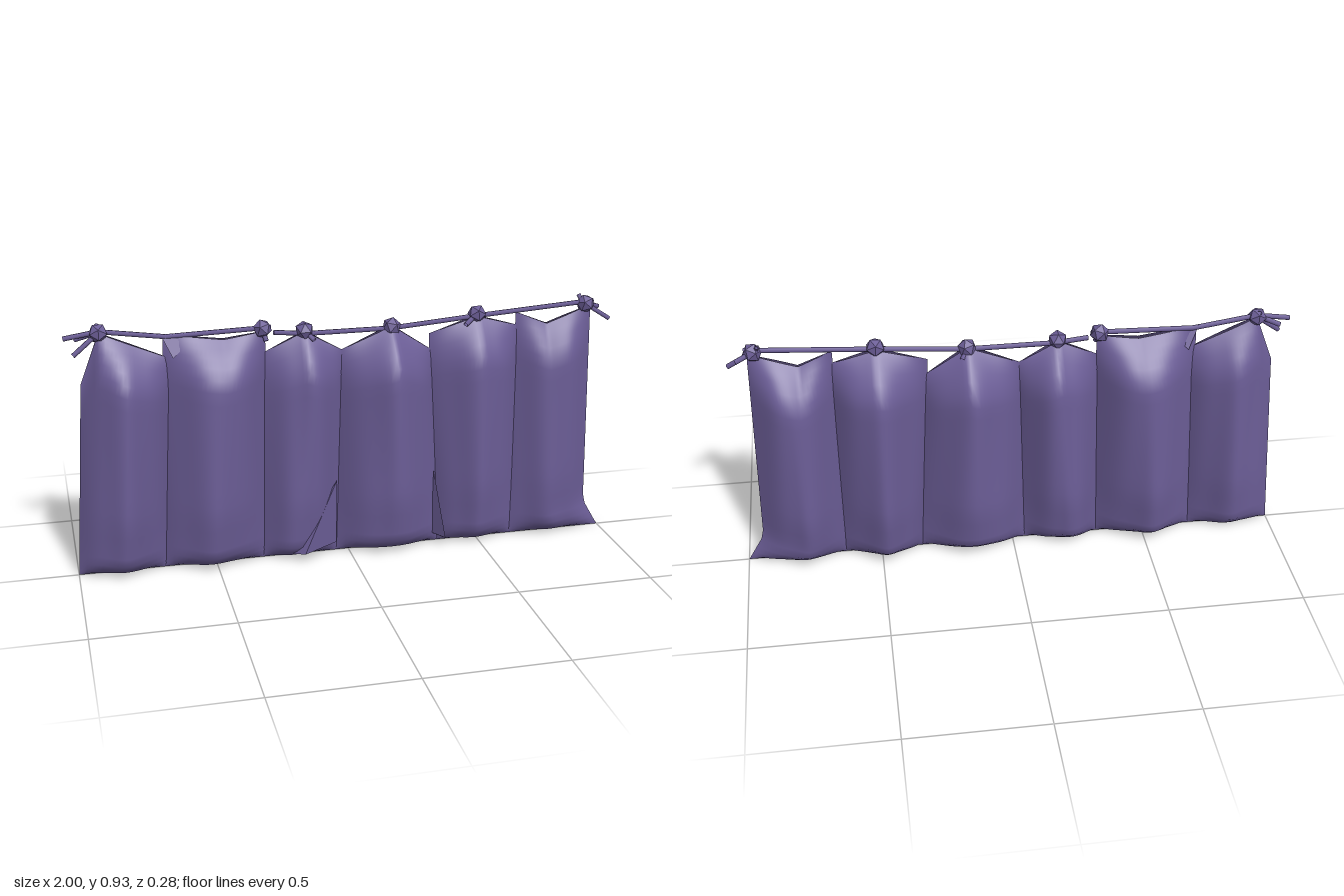
import * as THREE from 'three';
import { ConvexGeometry } from 'three/addons/geometries/ConvexGeometry.js';

// Piecewise-linear lookup in [position, value] pairs
function look(list, t) {
  for (let i = 1; i < list.length; i++) {
    const [a, p] = list[i - 1], [b, q] = list[i];
    if (t <= b) return p + (q - p) * Math.max(0, (t - a) / (b - a));
  }
  return list[list.length - 1][1];
}

// Fullness of the cloth from hem to tied top
const FULL = [[0, 0], [0.015, 0.4], [0.06, 0.8], [0.27, 1], [0.84, 0.94], [0.93, 0.5], [1, 0.07]];
const COLS = 24;
const ROWS = 24;

// Hem left and right, top edge points, front and back depth, lean of the folds
const PANELS = [
  [-1, -0.68, [[-0.95, 0.72], [-0.88, 0.9], [-0.63, 0.79]], 0.125, 0.1, 0.06],
  [-0.69, -0.31, [[-0.66, 0.88], [-0.45, 0.85], [-0.3, 0.87]], 0.13, 0.14, 0.1],
  [-0.33, -0.04, [[-0.31, 0.79], [-0.16, 0.86], [-0.02, 0.78]], 0.1, 0.12, 0.14],
  [-0.05, 0.36, [[-0.03, 0.78], [0.16, 0.86], [0.31, 0.76]], 0.135, 0.14, 0.05],
  [0.34, 0.65, [[0.3, 0.82], [0.48, 0.875], [0.64, 0.83]], 0.105, 0.14, 0.12],
  [0.62, 0.94, [[0.63, 0.88], [0.75, 0.83], [0.92, 0.89]], 0.085, 0.12, 0.05],
];

// One face of a billowing panel
function sheet([left, right, top, front, back, lean], index, side) {
  const pos = [], idx = [];
  const flare = index === PANELS.length - 1 ? 0.06 : 0;
  const depth = side > 0 ? front : back;
  for (let r = 0; r <= ROWS; r++) {
    const v = (1 - Math.cos(Math.PI * r / ROWS)) / 2;
    for (let c = 0; c <= COLS; c++) {
      const u = c / COLS;
      const tx = THREE.MathUtils.lerp(top[0][0], top[2][0], u);
      const bx = THREE.MathUtils.lerp(left, right, u);
      const x = THREE.MathUtils.lerp(bx, tx, v) + flare * u * Math.max(0, 1 - v / 0.12);
      const lu = u + lean * (0.5 - v) * 4 * u * (1 - u);
      const bulge = depth * (1 - Math.abs(2 * lu - 1) ** 1.6);
      const fold = 0.006 * Math.sin(lu * 13 + v * 3 + index * 1.7) * Math.sin(Math.PI * u);
      pos.push(x, look(top, tx) * v, side * (bulge + fold) * look(FULL, v));
    }
  }
  const n = COLS + 1;
  for (let r = 0; r < ROWS; r++) {
    for (let c = 0; c < COLS; c++) {
      const a = r * n + c, b = a + 1, d = a + n, e = d + 1;
      if (side > 0) idx.push(a, b, e, a, e, d);
      else idx.push(a, e, b, a, d, e);
    }
  }
  const g = new THREE.BufferGeometry();
  g.setAttribute('position', new THREE.Float32BufferAttribute(pos, 3));
  g.setIndex(idx);
  g.computeVertexNormals();
  return g;
}

export function createModel() {
  const model = new THREE.Group();
  const cloth = new THREE.MeshStandardMaterial({ color: 0x6b5d96, side: THREE.DoubleSide });
  cloth.name = 'purple cloth';

  const add = (geometry, name, parent = model) => {
    const mesh = new THREE.Mesh(geometry, cloth);
    mesh.name = name;
    parent.add(mesh);
    return mesh;
  };

  // Straight cord between two points
  const cord = (a, b, name) =>
    add(new THREE.TubeGeometry(new THREE.LineCurve3(a, b), 1, 0.009, 6), name);

  // Cloth panels
  PANELS.forEach((p, i) => {
    const panel = new THREE.Group();
    panel.name = 'curtainPanel' + (i + 1);
    add(sheet(p, i, 1), 'panelFront', panel);
    add(sheet(p, i, -1), 'panelBack', panel);
    model.add(panel);
  });

  // Pleat falling from a tip to a foot that stands out from the cloth
  const pleat = (x, height, reach, z) => add(new ConvexGeometry([
    new THREE.Vector3(x, height, 0.03),
    new THREE.Vector3(x + reach, 0.02, 0.04),
    new THREE.Vector3(x + reach * 0.75, 0.04, z),
    new THREE.Vector3(x, 0.04, 0.02),
  ]), 'hemPleat');
  pleat(-0.05, 0.29, -0.18, 0.105);
  pleat(0.32, 0.3, 0.05, 0.08);

  // Hanging rope in two lengths
  const ropes = [
    [[-1, 0.887], [-0.88, 0.905], [-0.65, 0.872], [-0.28, 0.882]],
    [[-0.27, 0.862], [-0.15, 0.85], [0.16, 0.85], [0.48, 0.875], [0.93, 0.905]],
  ];
  ropes.forEach((rope) => {
    const pts = rope.map(([x, y]) => new THREE.Vector3(x, y, 0));
    for (let i = 1; i < pts.length; i++) cord(pts[i - 1], pts[i], 'rope');
  });

  // Knots, each with a loose cord end: x, y, then the reach of the end
  const knots = [
    [-0.88, 0.9, -0.09, -0.07, 0.02],
    [-0.31, 0.878, 0.01, -0.04, 0.02],
    [-0.16, 0.862, 0.03, -0.03, 0.03],
    [0.16, 0.855, 0.02, -0.03, -0.03],
    [0.48, 0.882, -0.05, -0.03, 0.03],
    [0.9, 0.895, 0.09, -0.058, 0.015],
  ];
  knots.forEach(([x, y, dx, dy, dz], i) => {
    const centre = new THREE.Vector3(x, y, 0);
    const g = new THREE.IcosahedronGeometry(0.035, 0);
    g.rotateZ(i * 0.8);
    add(g, 'knot').position.copy(centre);
    cord(centre, new THREE.Vector3(x + dx, y + dy, dz), 'cordEnd');
  });

  // Extra cord ends at the two outer knots
  for (const s of [-1, 1]) {
    const centre = new THREE.Vector3(s * 0.89, 0.9, 0);
    cord(centre, new THREE.Vector3(s * 0.96, 0.875, -0.025), 'cordEnd');
    cord(centre, new THREE.Vector3(s * 0.88, 0.925, -0.02), 'cordEnd');
  }

  // Cloth corner pulled up to the rope
  add(new ConvexGeometry([
    new THREE.Vector3(-0.67, 0.885, 0),
    new THREE.Vector3(-0.63, 0.8, 0.03),
    new THREE.Vector3(-0.63, 0.8, -0.03),
    new THREE.Vector3(-0.57, 0.85, 0.01),
  ]), 'tiedCorner');

  return model;
}
